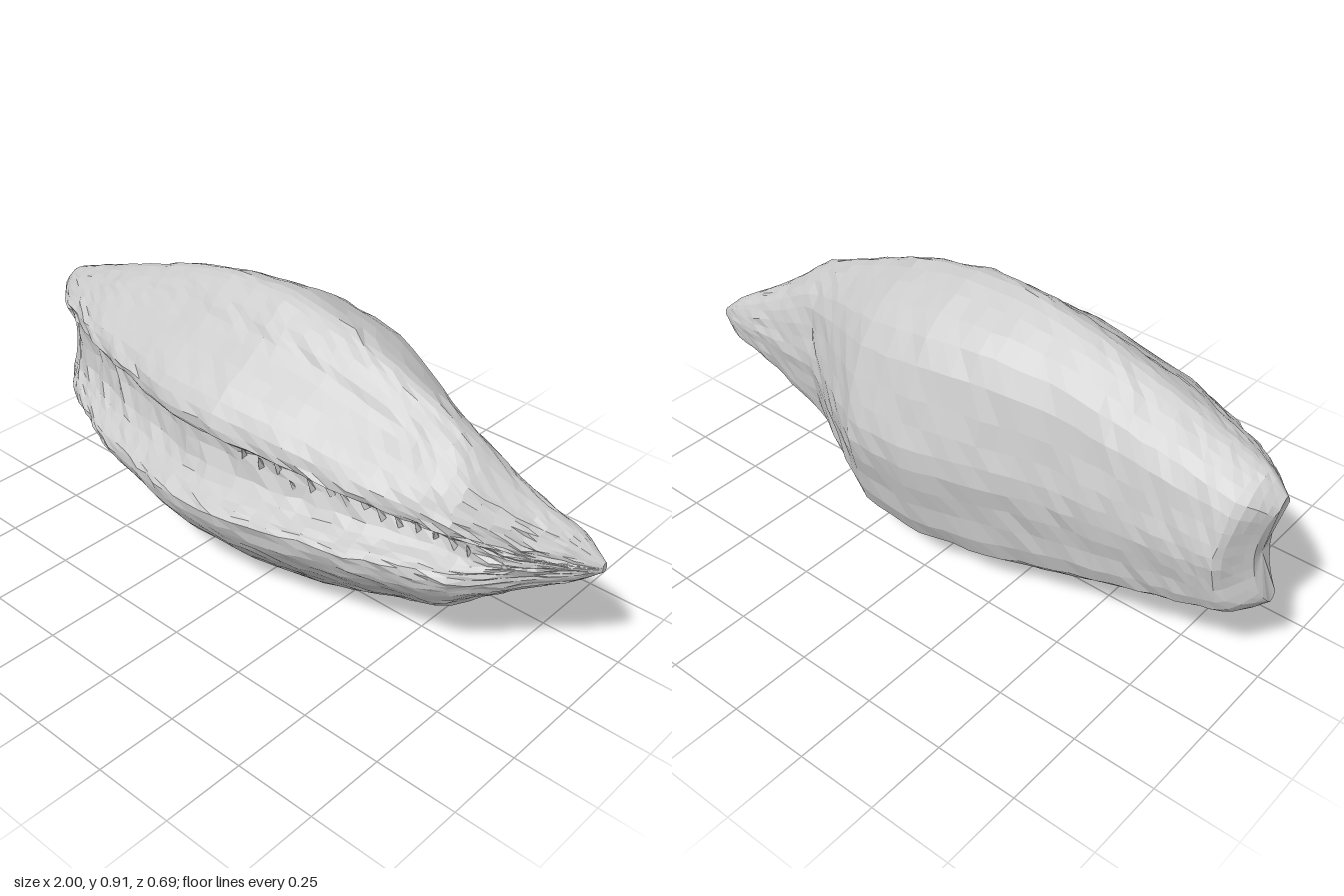
import * as THREE from 'three';

const { lerp, smoothstep } = THREE.MathUtils;

// Outline curves along the length, as [x, value]
const HALF_HEIGHT = [[-1, 0.175], [-0.95, 0.225], [-0.8, 0.278], [-0.4, 0.41], [-0.2, 0.448], [0, 0.453],
  [0.2, 0.42], [0.4, 0.355], [0.62, 0.27], [0.72, 0.19], [0.83, 0.125], [0.93, 0.075], [1, 0.015]];
const BACK_Z = [[-1, -0.06], [-0.93, -0.16], [-0.4, -0.225], [-0.2, -0.29], [0, -0.345], [0.2, -0.34],
  [0.31, -0.28], [0.45, -0.2], [0.56, -0.14], [0.93, -0.128], [1, -0.1]];
const FRONT_Z = [[-1, 0.02], [-0.88, 0.12], [-0.6, 0.24], [-0.2, 0.337], [0, 0.337], [0.4, 0.255], [0.68, 0.17], [1, -0.08]];
const HALF_GROOVE = [[-1, 0.15], [-0.6, 0.165], [0, 0.135], [0.4, 0.1], [0.7, 0.065], [0.85, 0.02], [1, 0.002]];

// Section rules: flanks from outer edge to lip, groove from lip to lip, back from bottom to top
const UPPER_FLANK = [[1, 0], [0.95, 0.14], [0.82, 0.29], [0.66, 0.41], [0.43, 0.74], [0.2, 0.96], [0, 1]];
const LOWER_FLANK = [[0, 1], [0.21, 0.96], [0.39, 0.84], [0.69, 0.57], [0.85, 0.4], [0.95, 0.26], [1, 0]];
const GROOVE = [[0.12, 0.35], [0.25, 0.85], [0.42, 1], [0.78, 0.75], [0.92, 0.25]];
const BACK = [[0.05, 0.34], [0.16, 0.8], [0.33, 0.92], [0.5, 1], [0.66, 0.9], [0.86, 0.69], [0.96, 0.3]];

function sample(curve, x) {
  let i = 0;
  while (i < curve.length - 2 && curve[i + 1][0] < x) i++;
  const [x0, v0] = curve[i], [x1, v1] = curve[i + 1];
  return lerp(v0, v1, (x - x0) / (x1 - x0));
}

// All measurements of the shell at one place along its length
function measure(x) {
  const centre = 0.457 - 0.032 * Math.max(0, x);
  const half = sample(HALF_HEIGHT, x), lip = sample(HALF_GROOVE, x);
  const lipCentre = centre + 0.008 * (1 - Math.abs(x));
  return {
    centre, lip,
    top: centre + half, bottom: centre - half,
    upper: lipCentre + lip, lower: lipCentre - lip,
    back: sample(BACK_Z, x), front: sample(FRONT_Z, x),
    mid: -0.09 * smoothstep(x, 0.6, 1),
    // The groove closes before the beak
    depth: 0.11 * (1 - x ** 4) * (1 - smoothstep(x, 0.6, 0.85)),
    // The shoulders fade into a round beak and a softer left end
    round: smoothstep(x, 0.45, 0.75) + 0.6 * smoothstep(-x, 0.3, 0.8),
  };
}

// Seeded noise in -0.5..0.5
function hash(i, j, k) {
  const s = Math.sin(i * 127.1 + j * 311.7 + k * 74.7) * 43758.5453;
  return s - Math.floor(s) - 0.5;
}

// Closed section: top, upper lip, groove, lower lip, bottom, back
function section(x, m, count) {
  const pts = [];
  const add = (y, z) => pts.push(new THREE.Vector3(x, y, z));
  const flankZ = (s, f) => lerp(m.mid, m.front, lerp(f, Math.sqrt(1 - s * s), m.round));
  for (const [s, f] of UPPER_FLANK) add(lerp(m.upper, m.top, s), flankZ(s, f));
  for (const [s, g] of GROOVE) add(lerp(m.upper, m.lower, s), m.front - m.depth * g);
  for (const [s, f] of LOWER_FLANK) add(lerp(m.lower, m.bottom, s), flankZ(s, f));
  for (const [s, f] of BACK) add(lerp(m.bottom, m.top, s), lerp(m.mid, m.back, f));
  const curve = new THREE.CatmullRomCurve3(pts, true, 'centripetal');
  return Array.from({ length: count }, (_, j) => curve.getPoint(j / count));
}

function buildShell() {
  const rings = 50, around = 56;
  const positions = [], indices = [];
  for (let i = 0; i <= rings; i++) {
    // Rings crowd towards both ends
    const u = (i / rings) * 2 - 1;
    const x = lerp(u, Math.sin(u * Math.PI / 2), 0.6);
    const ends = Math.min(1, (1 - Math.abs(x)) * 6);
    const m = measure(x);
    section(x, m, around).forEach((p, j) => {
      // Rougher grain on the lips and in the groove
      const inGroove = p.z > m.mid && p.y < m.upper + 0.03 && p.y > m.lower - 0.03;
      const rough = (inGroove ? 0.013 : 0.008) * ends;
      // Notch between the lips at the left end
      const across = Math.min(1, Math.abs(p.y - m.centre) / m.lip);
      const notch = 0.035 * (1 - across ** 2) * smoothstep(-x, 0.85, 1);
      positions.push(
        p.x + notch + hash(i, j, 1) * 0.012 * ends,
        p.y + hash(i, j, 2) * rough * 0.6,
        p.z + hash(i, j, 3) * rough
      );
    });
  }
  for (let i = 0; i < rings; i++) {
    for (let j = 0; j < around; j++) {
      const a = i * around + j, b = i * around + (j + 1) % around;
      const c = b + around, d = a + around;
      indices.push(a, b, c, a, c, d);
    }
  }
  // Dished left end and pointed right tip
  const left = positions.length / 3, right = left + 1, last = rings * around;
  positions.push(-0.965, 0.45, -0.02, 1, 0.425, -0.09);
  for (let j = 0; j < around; j++) {
    const k = (j + 1) % around;
    indices.push(left, k, j, right, last + j, last + k);
  }
  const geometry = new THREE.BufferGeometry();
  geometry.setAttribute('position', new THREE.Float32BufferAttribute(positions, 3));
  geometry.setIndex(indices);
  geometry.computeVertexNormals();
  return geometry;
}

export function createModel() {
  const group = new THREE.Group();
  group.name = 'groovedShell';
  const material = new THREE.MeshStandardMaterial({ color: 0xcccccc, flatShading: true });
  const shell = new THREE.Mesh(buildShell(), material);
  shell.name = 'shellBody';
  group.add(shell);

  // Small ragged teeth along the right half of the groove
  const teeth = new THREE.Group();
  teeth.name = 'grooveTeeth';
  const toothShape = new THREE.ConeGeometry(0.014, 0.06, 4);
  for (let n = 0; n < 14; n++) {
    const x = 0.02 + n * 0.053;
    const m = measure(x);
    const tooth = new THREE.Mesh(toothShape, material);
    tooth.name = 'tooth';
    tooth.position.set(x, lerp(m.upper, m.lower, 0.5 + hash(n, 3, 5) * 0.3), m.front - m.depth * 0.92);
    tooth.rotation.set(0.5, 0, hash(n, 7, 2) * 0.8);
    teeth.add(tooth);
  }
  group.add(teeth);
  return group;
}
